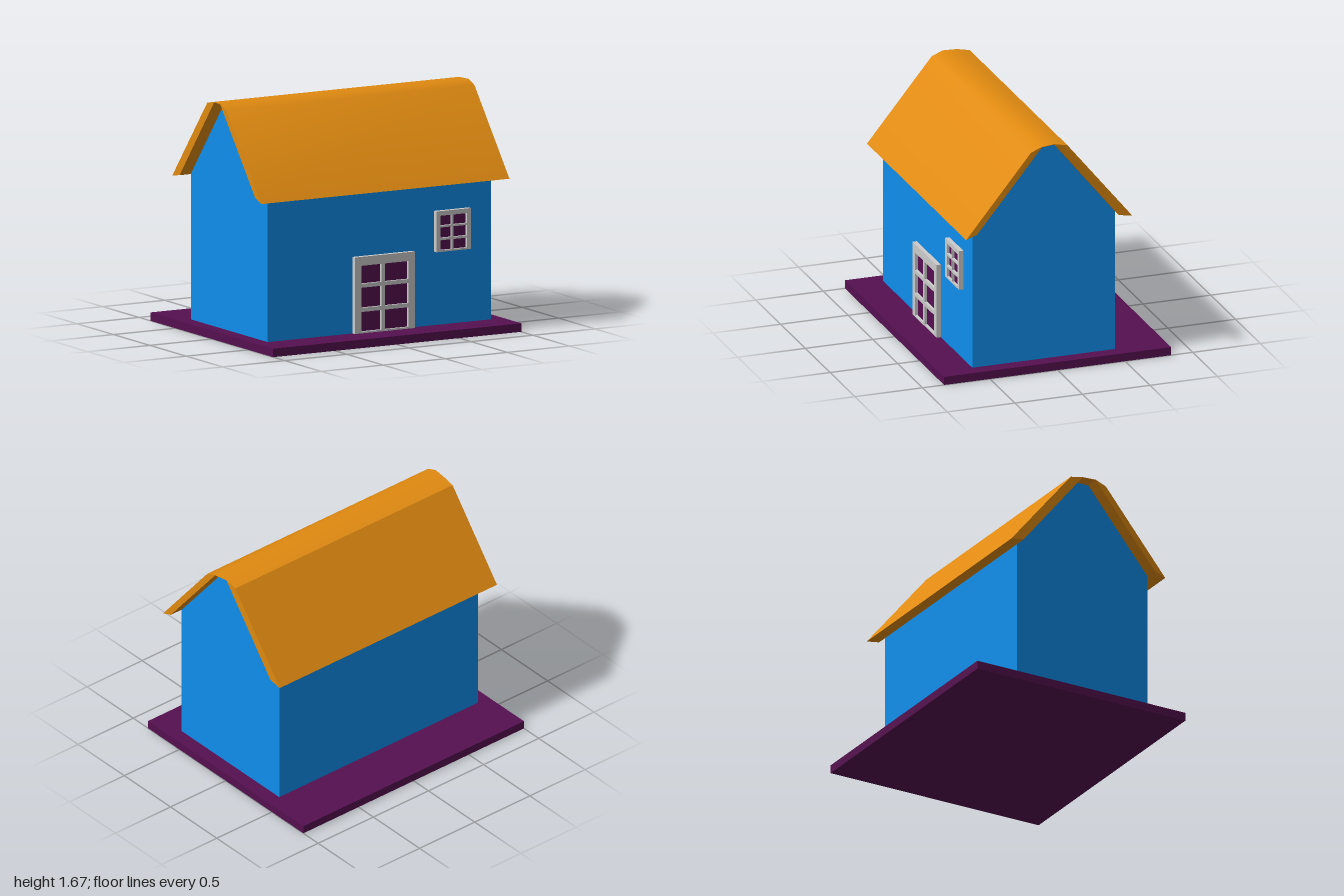
import * as THREE from 'three';
import { toCreasedNormals } from 'three/addons/utils/BufferGeometryUtils.js';

const paint = (color) => new THREE.MeshStandardMaterial({ color, side: THREE.DoubleSide });
const blue = paint(0x0f8eec);
const orange = paint(0xe08a10);
const purple = paint(0x551050);
const grey = paint(0xcccccc);

function addMesh(parent, name, geometry, material) {
  const mesh = new THREE.Mesh(geometry, material);
  mesh.name = name;
  parent.add(mesh);
  return mesh;
}

// Extrudes a [z, y] profile along x, centred on x = 0
function extrudeAlongX(profile, length) {
  const shape = new THREE.Shape(profile.map(([z, y]) => new THREE.Vector2(-z, y)));
  const geometry = new THREE.ExtrudeGeometry(shape, { depth: length, bevelEnabled: false });
  return geometry.translate(0, 0, -length / 2).rotateY(Math.PI / 2);
}

function rectangle(Type, [x0, x1], [y0, y1]) {
  return new Type([[x0, y0], [x1, y0], [x1, y1], [x0, y1]].map(([x, y]) => new THREE.Vector2(x, y)));
}

// A frame with a grid of openings over a recessed sheet
function createGlazedFrame(name, width, height, columns, rows) {
  const group = new THREE.Group();
  group.name = name;
  const shape = rectangle(THREE.Shape, width, height);
  for (const column of columns) {
    for (const row of rows) shape.holes.push(rectangle(THREE.Path, column, row));
  }
  const frame = new THREE.ExtrudeGeometry(shape, { depth: 0.035, bevelEnabled: false });
  addMesh(group, name + 'Frame', frame.translate(0, 0, 0.592), grey);

  const x = [columns[0][0], columns[1][1]];
  const y = [rows[0][0], rows[2][1]];
  const panes = new THREE.ShapeGeometry(rectangle(THREE.Shape, x, y));
  addMesh(group, name + 'Panes', panes.translate(0, 0, 0.608), purple);
  return group;
}

export function createModel() {
  const house = new THREE.Group();
  house.name = 'house';

  // Ground slab
  const slab = addMesh(house, 'base', new THREE.BoxGeometry(2, 0.06, 1.68), purple);
  slab.position.y = 0.03;

  // Walls with gable ends
  const walls = [[0.595, 0.055], [0.595, 1.085], [0.115, 1.671], [0.015, 1.671], [-0.46, 1.085], [-0.46, 0.055]];
  addMesh(house, 'walls', extrudeAlongX(walls, 1.8), blue);

  // Roof: two thick slopes joined by a thin ridge, slightly shorter at the back
  const roofProfile = [
    [0.677, 1.055], [0.197, 1.643], [0.115, 1.675], [0.015, 1.675], [-0.08, 1.655], [-0.56, 1.068],
    [-0.46, 1.085], [0.015, 1.672], [0.115, 1.672], [0.595, 1.085],
  ];
  const roof = extrudeAlongX(roofProfile, 2);
  const position = roof.attributes.position;
  for (let i = 0; i < position.count; i++) {
    if (position.getZ(i) < 0.05) position.setX(i, position.getX(i) > 0 ? 0.98 : -0.99);
  }
  addMesh(house, 'roof', toCreasedNormals(roof, 0.61), orange);

  // Door and window on the front wall
  house.add(createGlazedFrame('door', [-0.217, 0.267], [0.055, 0.6],
    [[-0.163, -0.003], [0.027, 0.214]],
    [[0.072, 0.211], [0.24, 0.382], [0.41, 0.537]]));
  house.add(createGlazedFrame('window', [0.441, 0.72], [0.578, 0.866],
    [[0.473, 0.564], [0.58, 0.688]],
    [[0.59, 0.66], [0.676, 0.75], [0.763, 0.833]]));

  return house;
}
